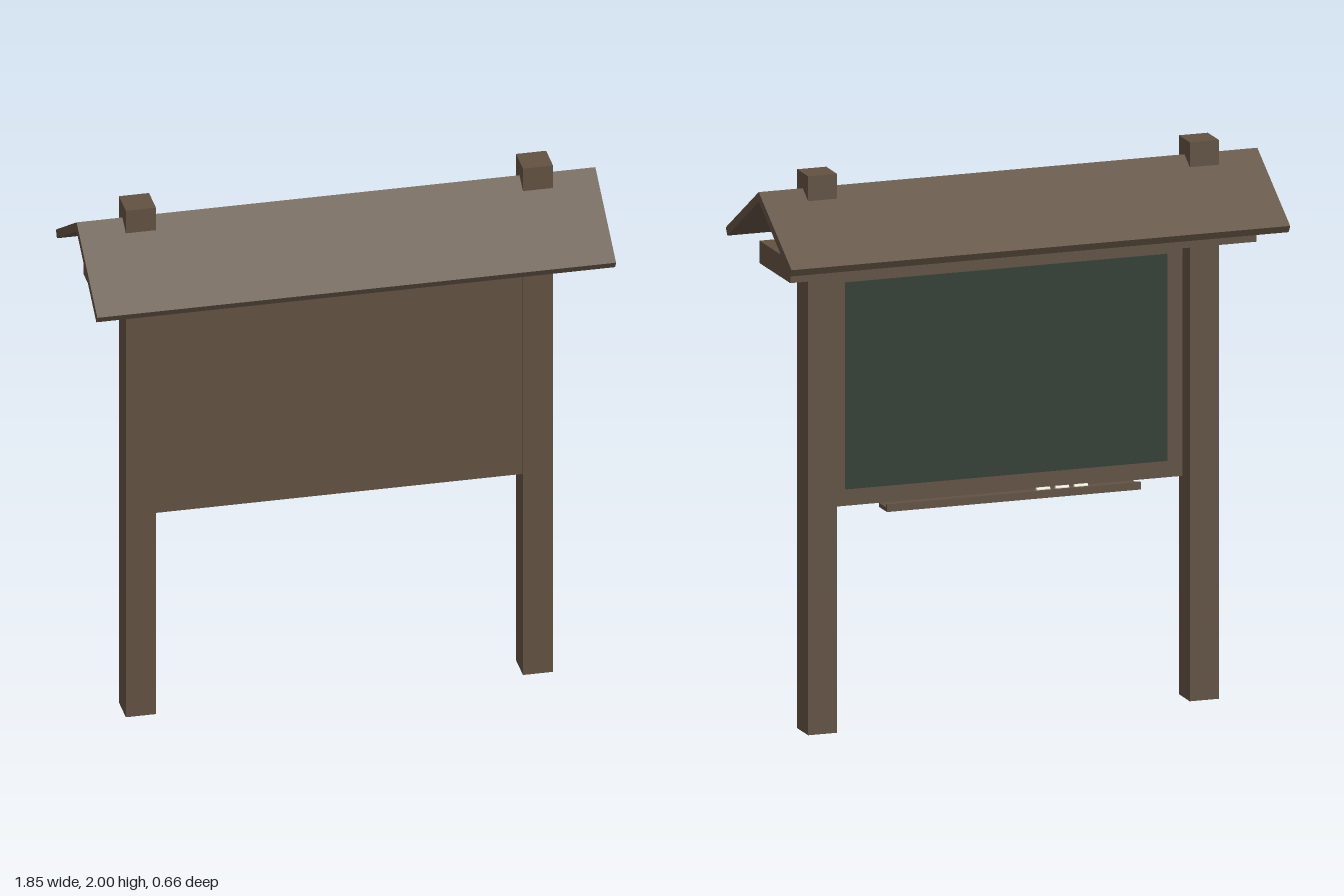
import * as THREE from 'three';

export function createModel() {
  const mat = (name, color) => {
    const m = new THREE.MeshStandardMaterial({ color });
    m.name = name;
    return m;
  };
  const wood = mat('dark wood', 0x615142);
  const slate = mat('slate green', 0x333e36);
  const cream = mat('cream', 0xd2c6a2);
  const chalkWhite = mat('chalk white', 0xe2dccb);

  const model = new THREE.Group();
  model.name = 'noticeBoard';

  // Box given by its minimum and maximum on each axis
  const box = (name, material, [x0, x1], [y0, y1], [z0, z1]) => {
    const mesh = new THREE.Mesh(new THREE.BoxGeometry(x1 - x0, y1 - y0, z1 - z0), material);
    mesh.position.set((x0 + x1) / 2, (y0 + y1) / 2, (z0 + z1) / 2);
    mesh.name = name;
    model.add(mesh);
    return mesh;
  };

  // Two square posts rising through the roof
  box('leftPost', wood, [0.653, 0.76], [0, 2], [-0.055, 0.055]);
  box('rightPost', wood, [-0.76, -0.653], [0, 2], [-0.055, 0.055]);

  // Cross plank under the roof
  box('crossPlank', wood, [-0.863, 0.863], [1.65, 1.73], [-0.155, 0.155]);

  // Main board with the slate surface on its back
  box('board', wood, [-0.653, 0.653], [0.79, 1.65], [0.018, 0.047]);
  box('slateSurface', slate, [-0.595, 0.595], [0.85, 1.59], [0.012, 0.018]);

  // Header panel between the plank and the roof
  box('headerBoard', wood, [-0.653, 0.653], [1.73, 1.88], [0.006, 0.03]);
  box('headerPanel', cream, [-0.653, 0.653], [1.73, 1.88], [0, 0.006]);

  // Tray with a low lip
  box('tray', wood, [-0.47, 0.47], [0.775, 0.79], [-0.05, 0.018]);
  box('trayLip', wood, [-0.47, 0.47], [0.775, 0.802], [-0.06, -0.05]);

  // Chalk sticks lying in the tray
  for (let i = 0; i < 3; i++) {
    const stick = new THREE.Mesh(new THREE.CylinderGeometry(0.008, 0.008, 0.05, 10), chalkWhite);
    stick.rotation.z = Math.PI / 2;
    stick.position.set(-0.12 - i * 0.07, 0.798, -0.025);
    stick.name = 'chalkStick';
    model.add(stick);
  }

  // Gabled roof: a chevron section extruded along x
  const section = new THREE.Shape([
    [0, 1.945], [-0.33, 1.742], [-0.314, 1.716], [0, 1.91], [0.314, 1.716], [0.33, 1.742],
  ].map(([z, y]) => new THREE.Vector2(z, y)));
  const roof = new THREE.Mesh(
    new THREE.ExtrudeGeometry(section, { depth: 1.846, bevelEnabled: false }), wood);
  roof.rotation.y = Math.PI / 2;
  roof.position.x = -0.923;
  roof.name = 'roof';
  model.add(roof);

  return model;
}
